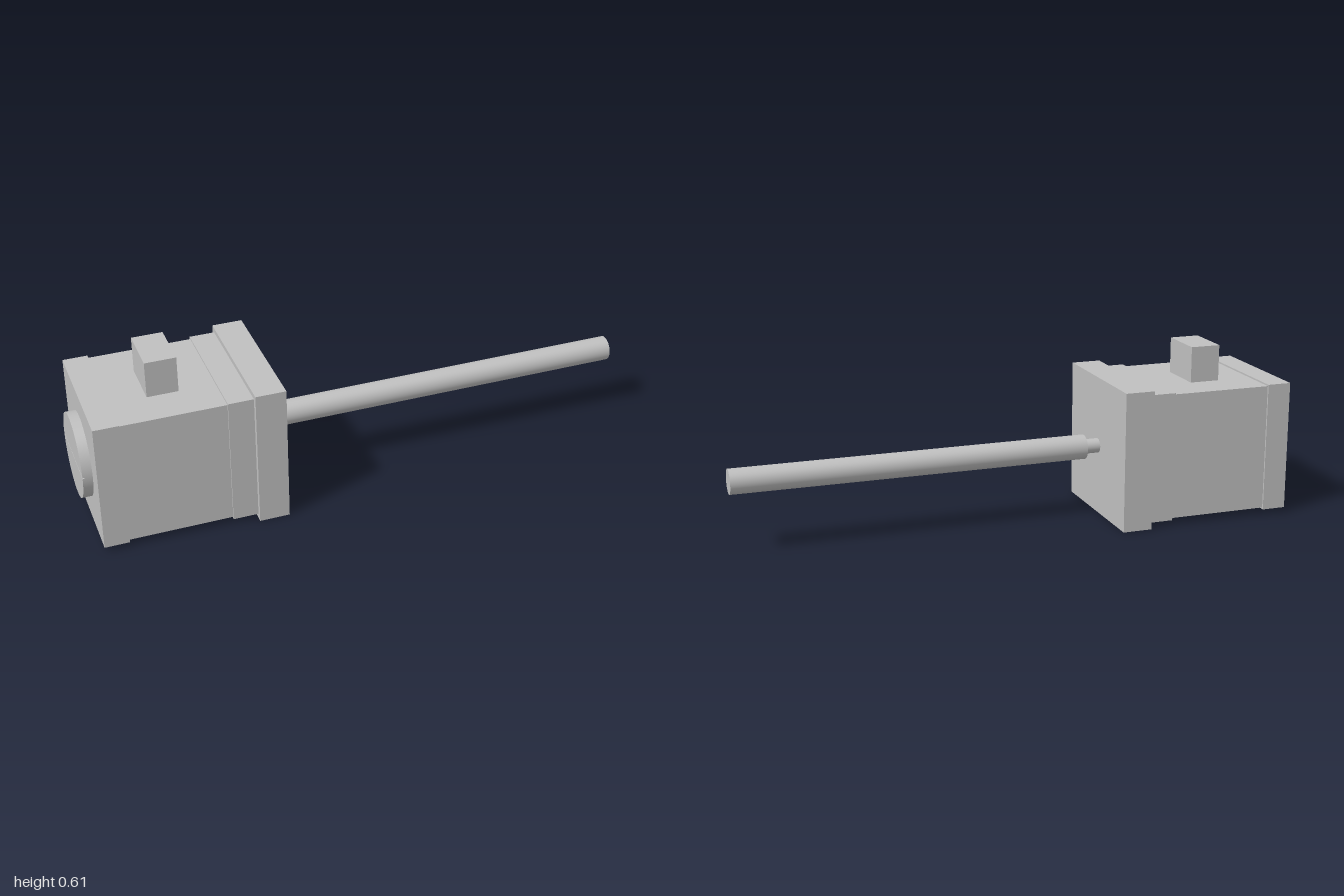
import * as THREE from 'three';

export function createModel() {
  const group = new THREE.Group();
  const metal = new THREE.MeshStandardMaterial({ color: 0xc0c0c0 });
  metal.name = 'light grey metal';
  const axisY = 0.25;

  const add = (name, geometry) => {
    const mesh = new THREE.Mesh(geometry, metal);
    mesh.name = name;
    group.add(mesh);
    return mesh;
  };
  // Square block around the shaft axis, from x0 to x1
  const block = (name, x0, x1, half) =>
    add(name, new THREE.BoxGeometry(x1 - x0, half * 2, half * 2)).position.set((x0 + x1) / 2, axisY, 0);
  // Round part along the shaft axis, from x0 to x1
  const rod = (name, x0, x1, radius) => {
    const g = new THREE.CylinderGeometry(radius, radius, x1 - x0, 64).rotateZ(-Math.PI / 2);
    add(name, g).position.set((x0 + x1) / 2, axisY, 0);
  };

  // Motor housing
  block('rearCap', -0.966, -0.88, 0.232);
  block('housing', -0.88, -0.52, 0.226);
  block('frontCap', -0.52, -0.432, 0.232);
  block('frontFlange', -0.432, -0.326, 0.25);

  // Shaft with its thinner neck
  rod('shaftNeck', -0.326, -0.272, 0.026);
  rod('shaft', -0.272, 1, 0.044);

  // Rear disc: a base and two raised halves that leave a fine slot
  const radius = 0.147, slot = 0.002, depth = 0.006;
  rod('rearDisc', -1 + depth, -0.966, radius);
  const a = Math.asin(slot / radius);
  for (const side of [0, Math.PI]) {
    const half = new THREE.Shape();
    half.absarc(0, 0, radius, side + a, side + Math.PI - a, false);
    half.closePath();
    const g = new THREE.ExtrudeGeometry(half, { depth, bevelEnabled: false, curveSegments: 32 });
    g.rotateY(-Math.PI / 2);
    add(side ? 'lowerDiscHalf' : 'upperDiscHalf', g).position.set(-1 + depth, axisY, 0);
  }

  // Cable connector on top of the housing
  add('connector', new THREE.BoxGeometry(0.108, 0.135, 0.176)).position.set(-0.7, 0.5375, 0);

  return group;
}
